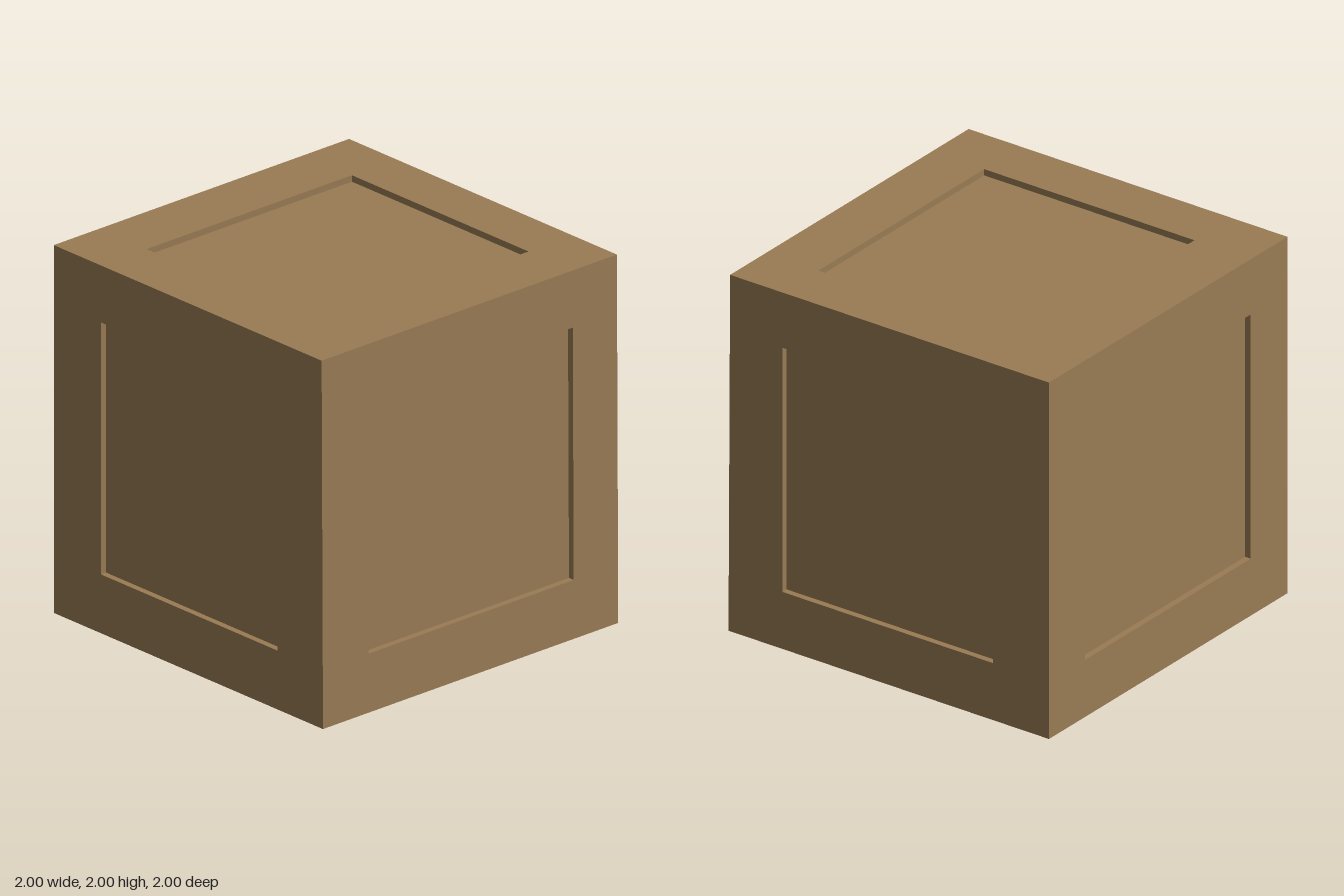
import * as THREE from 'three';

// Extents along x, y, z of the crate and of the recessed panel openings
const OUTER = [[-1, 0.996], [0, 2], [-1, 0.998]];
const PANEL = [[-0.65, 0.66], [0.32, 1.69], [-0.7, 0.69]];
const DEPTH = 0.035;
const SIDES = [['right', 'left'], ['bottom', 'top'], ['back', 'front']];

// Four corners of a rectangle across the given axis, counter-clockwise seen from +axis
function ring(axis, level, extents) {
  const b = (axis + 1) % 3, c = (axis + 2) % 3;
  return [[0, 0], [1, 0], [1, 1], [0, 1]].map(([i, j]) => {
    const p = [0, 0, 0];
    p[axis] = level;
    p[b] = extents[b][i];
    p[c] = extents[c][j];
    // the +x side leans in very slightly towards the top
    if (p[0] > 0.9) p[0] -= 0.005 * p[1];
    return p;
  });
}

// Flat-shaded geometry from quads, turned round for sides facing -axis
function quads(list, flip) {
  const pos = [];
  for (const [a, b, c, d] of list) {
    const tris = flip ? [a, c, b, a, d, c] : [a, b, c, a, c, d];
    tris.forEach((p) => pos.push(...p));
  }
  const geo = new THREE.BufferGeometry();
  geo.setAttribute('position', new THREE.Float32BufferAttribute(pos, 3));
  geo.computeVertexNormals();
  return geo;
}

const band = (r, s) => r.map((p, i) => [p, r[(i + 1) % 4], s[(i + 1) % 4], s[i]]);

export function createModel() {
  const crate = new THREE.Group();
  crate.name = 'crate';
  const wood = new THREE.MeshStandardMaterial({ color: 0x9a7c55 });
  wood.name = 'wood';

  const add = (name, geo) => {
    const mesh = new THREE.Mesh(geo, wood);
    mesh.name = name;
    crate.add(mesh);
  };

  for (let axis = 0; axis < 3; axis++) {
    for (let end = 0; end < 2; end++) {
      const level = OUTER[axis][end];
      const floor = level + (end ? -DEPTH : DEPTH);
      const outer = ring(axis, level, OUTER);
      const rim = ring(axis, level, PANEL);
      const inner = ring(axis, floor, PANEL);
      const flip = end === 0;
      // border, walls of the recess, and the panel at its floor
      add(SIDES[axis][end] + 'Frame', quads(band(outer, rim), flip));
      add(SIDES[axis][end] + 'RecessWalls', quads(band(rim, inner), flip));
      add(SIDES[axis][end] + 'Panel', quads([inner], flip));
    }
  }
  return crate;
}
